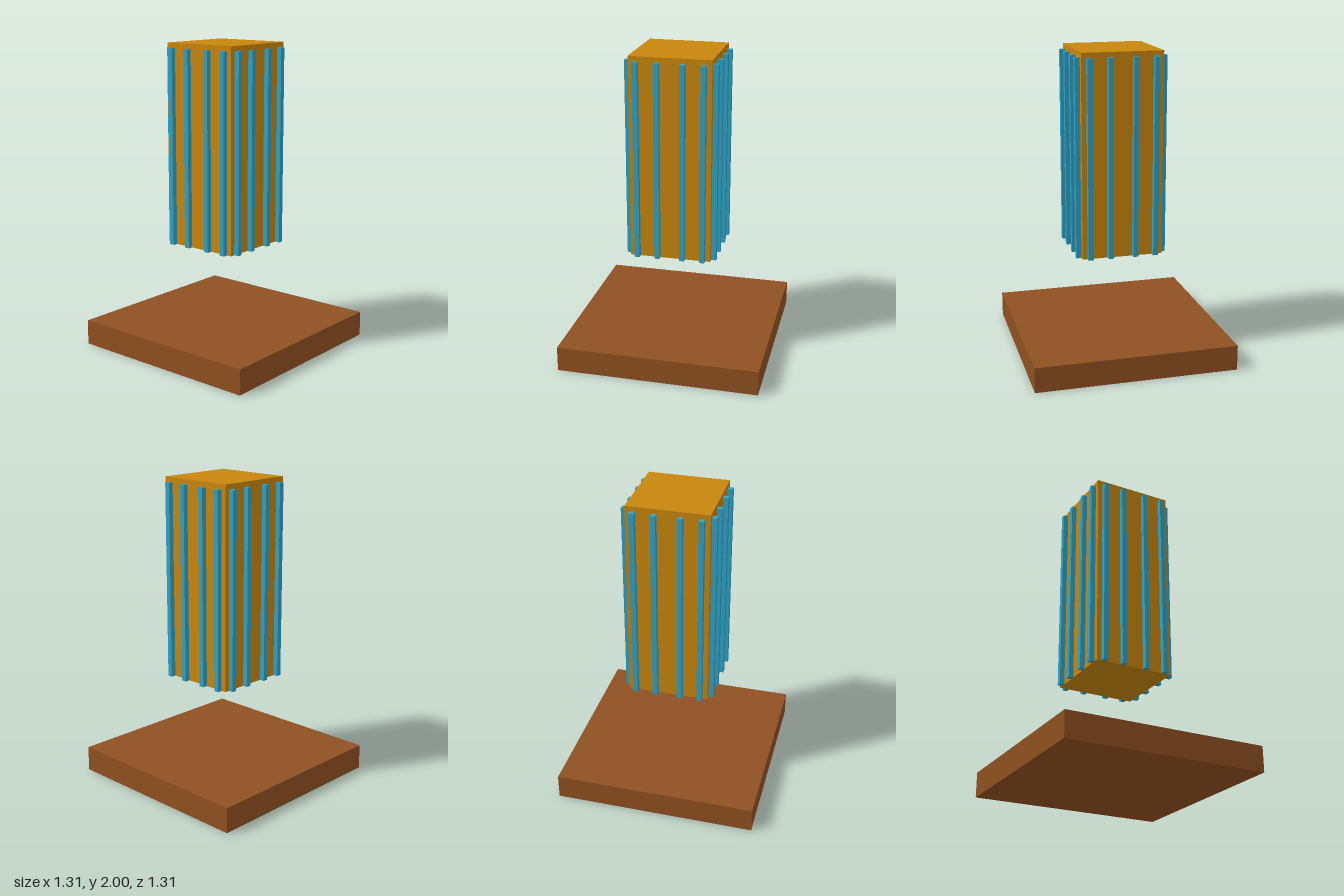
import * as THREE from 'three';

function material(name, color) {
  const m = new THREE.MeshStandardMaterial({ color });
  m.name = name;
  return m;
}

export function createModel() {
  const brown = material('brown', 0x8f5020);
  const amber = material('amber', 0xc8860c);
  const blue = material('blue', 0x2ea3c7);
  const model = new THREE.Group();
  model.name = 'floatingTower';

  // Box placed by the height of its underside
  function box(name, mat, [w, h, d], [x, bottom, z], parent = model) {
    const mesh = new THREE.Mesh(new THREE.BoxGeometry(w, h, d), mat);
    mesh.name = name;
    mesh.position.set(x, bottom + h / 2, z);
    parent.add(mesh);
    return mesh;
  }

  // Square slab on the ground and the column hovering above it
  box('base', brown, [1.309, 0.164, 1.309], [0, 0, 0]);
  box('column', amber, [0.524, 1.309, 0.524], [0, 0.691, 0]);

  // Four slim vertical strips on each side of the column
  for (let side = 0; side < 4; side++) {
    const strips = new THREE.Group();
    strips.name = 'sideStrips';
    strips.rotation.y = side * Math.PI / 2;
    for (const x of [-0.213, -0.081, 0.081, 0.213]) {
      box('strip', blue, [0.033, 1.277, 0.033], [x, 0.691, 0.278], strips);
    }
    model.add(strips);
  }
  return model;
}
